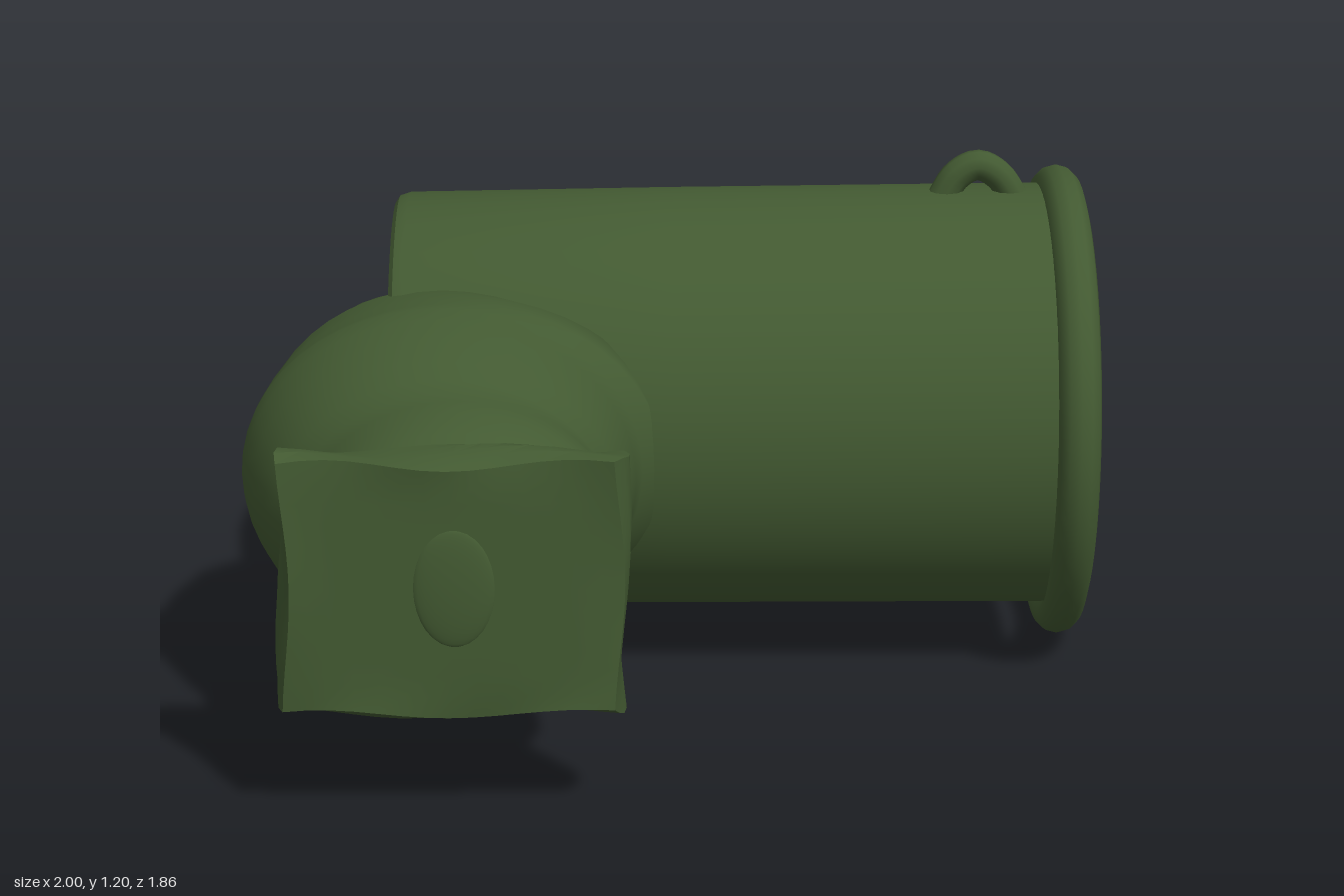
import * as THREE from 'three';
import { toCreasedNormals } from 'three/addons/utils/BufferGeometryUtils.js';

const CY = 0.58, CZ = -0.353; // barrel axis, running along x

// Skin a list of closed rings of equal length
function loft(rings) {
  const n = rings[0].length, pos = [], idx = [];
  rings.forEach(r => r.forEach(p => pos.push(...p)));
  for (let i = 0; i < rings.length - 1; i++) {
    for (let j = 0; j < n; j++) {
      const a = i * n + j, b = i * n + (j + 1) % n;
      idx.push(a, b, a + n, b, b + n, a + n);
    }
  }
  const g = new THREE.BufferGeometry();
  g.setAttribute('position', new THREE.Float32BufferAttribute(pos, 3));
  g.setIndex(idx);
  g.computeVertexNormals();
  return g;
}

// Circle with a flat bottom, as [y, z] offsets
function barrelOutline(r, n = 72) {
  return Array.from({ length: n }, (_, j) => {
    const t = (j / n) * Math.PI * 2;
    return [Math.max(CY + r * Math.cos(t), 0.16), CZ + r * Math.sin(t)];
  });
}

export function createModel() {
  const group = new THREE.Group();
  const green = new THREE.MeshStandardMaterial({ color: 0x435a32 });
  green.name = 'olive green';
  const add = (name, geometry) => {
    const m = new THREE.Mesh(geometry, green);
    m.name = name;
    group.add(m);
    return m;
  };

  // Barrel: slightly flared, flat underneath, soft edge at the closed end
  const profile = [[-0.665, 0.49], [-0.655, 0.505], [-0.63, 0.513], [0, 0.522], [0.9, 0.53]];
  const rings = profile.map(([x, r]) => barrelOutline(r).map(([y, z]) => [x, y, z]));
  rings.unshift(rings[0].map(() => [-0.665, CY, CZ]));
  add('barrel', toCreasedNormals(loft(rings), 0.55));

  // Open end: face with a rectangular mouth
  const face = new THREE.Shape(barrelOutline(0.53).map(([y, z]) => new THREE.Vector2(-z, y)));
  const mouth = [[0.87, 0.07], [0.87, -0.77], [0.3, -0.77], [0.3, 0.07]];
  face.holes.push(new THREE.Path(mouth.map(([y, z]) => new THREE.Vector2(-z, y))));
  add('mouthFace', new THREE.ShapeGeometry(face).rotateY(Math.PI / 2).translate(0.9, 0, 0));

  // Tapered rectangular cavity (corners run counter-clockwise about +x)
  const rect = (x, y0, y1, z0, z1) => [[x, y0, z0], [x, y1, z0], [x, y1, z1], [x, y0, z1]];
  add('cavity', toCreasedNormals(loft([
    rect(0.9, 0.3, 0.87, -0.77, 0.07),
    rect(-0.1, 0.37, 0.8, -0.67, -0.03),
    rect(-0.1, 0.585, 0.585, -0.35, -0.35),
  ]), 0.3));

  // Rim around the open end
  add('rim', new THREE.TorusGeometry(0.525, 0.051, 12, 56).rotateY(Math.PI / 2).translate(0.948, 0.578, CZ));

  // Small loop handle on top
  const loop = new THREE.CatmullRomCurve3(
    [[0.655, 1.08], [0.695, 1.145], [0.745, 1.17], [0.795, 1.145], [0.84, 1.08]]
      .map(([x, y]) => new THREE.Vector3(x, y, CZ)));
  add('loopHandle', new THREE.TubeGeometry(loop, 20, 0.037, 10));

  // Elbow and neck: elliptical sections [z, xMin, xMax, yMin, yMax]
  const sections = [
    [-0.39, -0.63, -0.6, 0.56, 0.6],
    [-0.36, -0.69, -0.5, 0.45, 0.71],
    [-0.27, -0.85, -0.4, 0.33, 0.83],
    [-0.16, -0.93, -0.3, 0.25, 0.91],
    [-0.03, -0.975, -0.12, 0.2, 0.955],
    [0.08, -0.995, 0.0, 0.185, 0.968],
    [0.15, -1.0, -0.02, 0.18, 0.97],
    [0.19, -1.0, -0.07, 0.18, 0.969],
    [0.25, -0.99, -0.085, 0.185, 0.96],
    [0.34, -0.965, -0.1, 0.2, 0.94],
    [0.42, -0.93, -0.12, 0.22, 0.91],
    [0.48, -0.9, -0.135, 0.235, 0.885],
    [0.53, -0.87, -0.125, 0.225, 0.87],
    [0.58, -0.85, -0.105, 0.215, 0.868],
    [0.65, -0.84, -0.1, 0.212, 0.862],
    [0.72, -0.82, -0.12, 0.228, 0.838],
    [0.78, -0.79, -0.155, 0.26, 0.8],
    [0.83, -0.75, -0.2, 0.3, 0.76],
  ];
  add('elbow', loft(sections.map(([z, x0, x1, y0, y1]) => Array.from({ length: 48 }, (_, j) => {
    const t = (j / 48) * Math.PI * 2;
    return [(x0 + x1) / 2 + ((x1 - x0) / 2) * Math.cos(t), (y0 + y1) / 2 + ((y1 - y0) / 2) * Math.sin(t), z];
  }))));

  // End plate: slab with uneven, slightly pinched edges
  const plate = new THREE.BoxGeometry(0.75, 0.59, 0.12, 14, 12, 4);
  const p = plate.attributes.position;
  for (let i = 0; i < p.count; i++) {
    const x = p.getX(i), y = p.getY(i), z = p.getZ(i);
    const edge = Math.max(Math.abs(x) / 0.375, Math.abs(y) / 0.295) ** 6;
    const round = 1 - 0.04 * edge * (Math.abs(z) / 0.06) ** 2;
    p.setXYZ(i,
      x * round + 0.012 * Math.sin(9 * y + 25 * z) * edge,
      y * round + 0.012 * Math.sin(11 * x - 30 * z) * edge,
      z + 0.008 * Math.sin(13 * x + 8 * y) * edge);
  }
  plate.translate(-0.485, 0.545, 0.853);
  add('endPlate', toCreasedNormals(plate, 0.6));

  // Shallow boss in the middle of the plate
  const boss = add('plateBoss', new THREE.SphereGeometry(1, 24, 16));
  boss.scale.set(0.09, 0.135, 0.016);
  boss.position.set(-0.48, 0.55, 0.91);

  return group;
}
